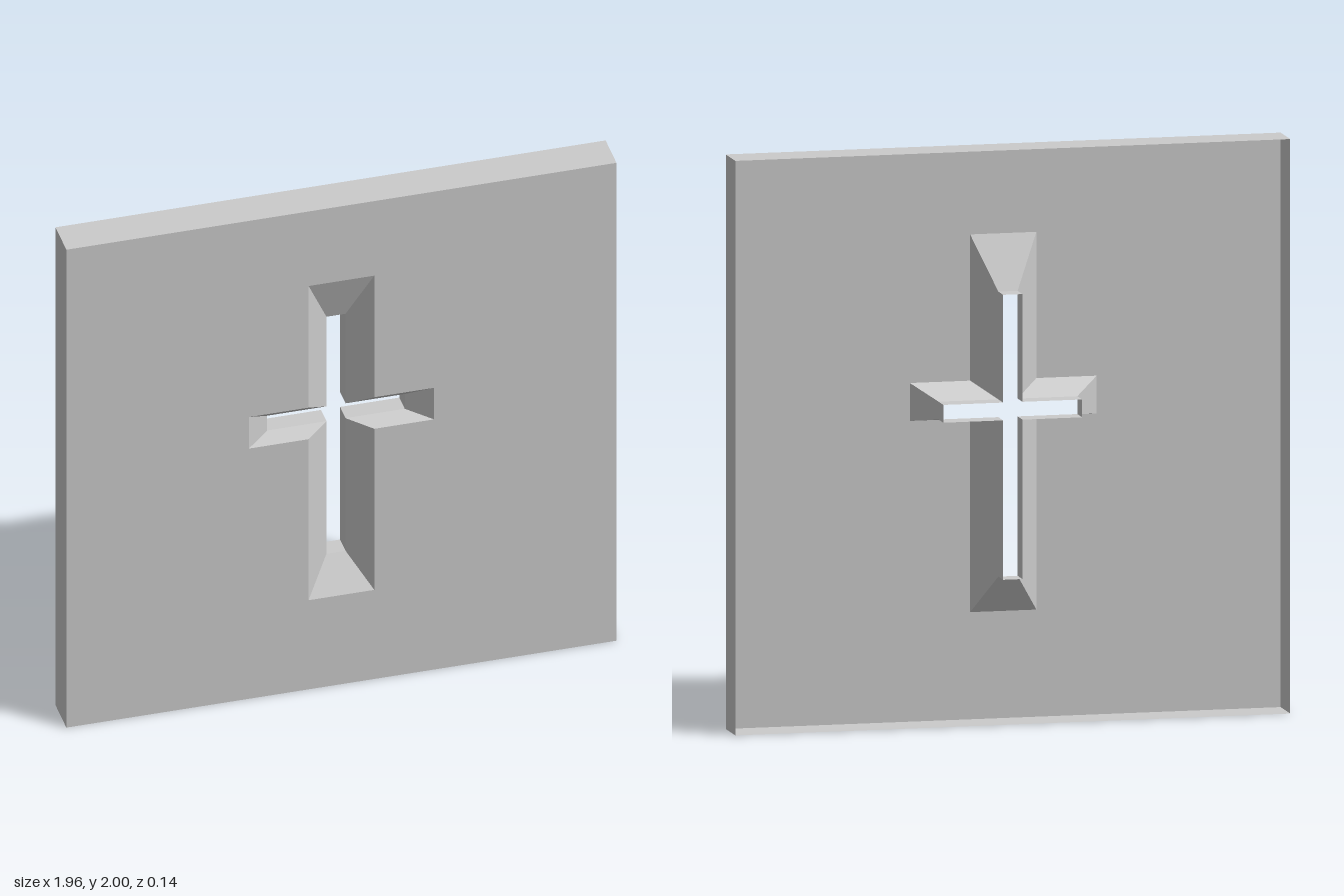
import * as THREE from 'three';

const FRONT = 0.07, MIDDLE = 0, BACK = -0.07;

// Outline of a cross, anticlockwise: upright half-width w from y0 to y1,
// arms of half-length a between heights b0 and b1.
function crossOutline(w, y0, y1, a, b0, b1) {
  return [
    [-w, y0], [w, y0], [w, b0], [a, b0], [a, b1], [w, b1],
    [w, y1], [-w, y1], [-w, b1], [-a, b1], [-a, b0], [-w, b0],
  ].map(([x, y]) => new THREE.Vector2(x, y));
}

// Flat-faced band joining two outlines of equal length at two depths;
// it faces outward unless inward is set.
function band(ringA, zA, ringB, zB, inward = false) {
  const positions = [];
  const n = ringA.length;
  for (let i = 0; i < n; i++) {
    const j = (i + 1) % n;
    const a0 = [ringA[i].x, ringA[i].y, zA], a1 = [ringA[j].x, ringA[j].y, zA];
    const b0 = [ringB[i].x, ringB[i].y, zB], b1 = [ringB[j].x, ringB[j].y, zB];
    const corners = inward ? [a0, a1, b1, a0, b1, b0] : [a0, b0, b1, a0, b1, a1];
    positions.push(...corners.flat());
  }
  const geometry = new THREE.BufferGeometry();
  geometry.setAttribute('position', new THREE.Float32BufferAttribute(positions, 3));
  geometry.computeVertexNormals();
  return geometry;
}

export function createModel() {
  const group = new THREE.Group();
  group.name = 'wallWithCrossWindow';
  const material = new THREE.MeshStandardMaterial({
    color: 0xcccccc, flatShading: true, side: THREE.DoubleSide,
  });
  const add = (name, geometry) => {
    const mesh = new THREE.Mesh(geometry, material);
    mesh.name = name;
    group.add(mesh);
  };

  const wall = [[-0.98, 0], [0.98, 0], [0.98, 2], [-0.98, 2]]
    .map(([x, y]) => new THREE.Vector2(x, y));
  const wide = crossOutline(0.117, 0.373, 1.688, 0.33, 1.047, 1.179);
  const narrow = crossOutline(0.034, 0.505, 1.497, 0.245, 1.06, 1.122);

  // Front sheet with the wide cross cut out
  const sheet = new THREE.Shape(wall);
  sheet.holes.push(new THREE.Path([...wide].reverse()));
  add('frontSheet', new THREE.ShapeGeometry(sheet).translate(0, 0, FRONT));

  // Rim around the edge; the back stays open
  add('outerRim', band(wall, FRONT, wall, BACK));

  // Sloped reveal narrowing to the slot, then a straight passage to the back
  add('slopedReveal', band(wide, FRONT, narrow, MIDDLE, true));
  add('slotWalls', band(narrow, MIDDLE, narrow, BACK, true));

  return group;
}
